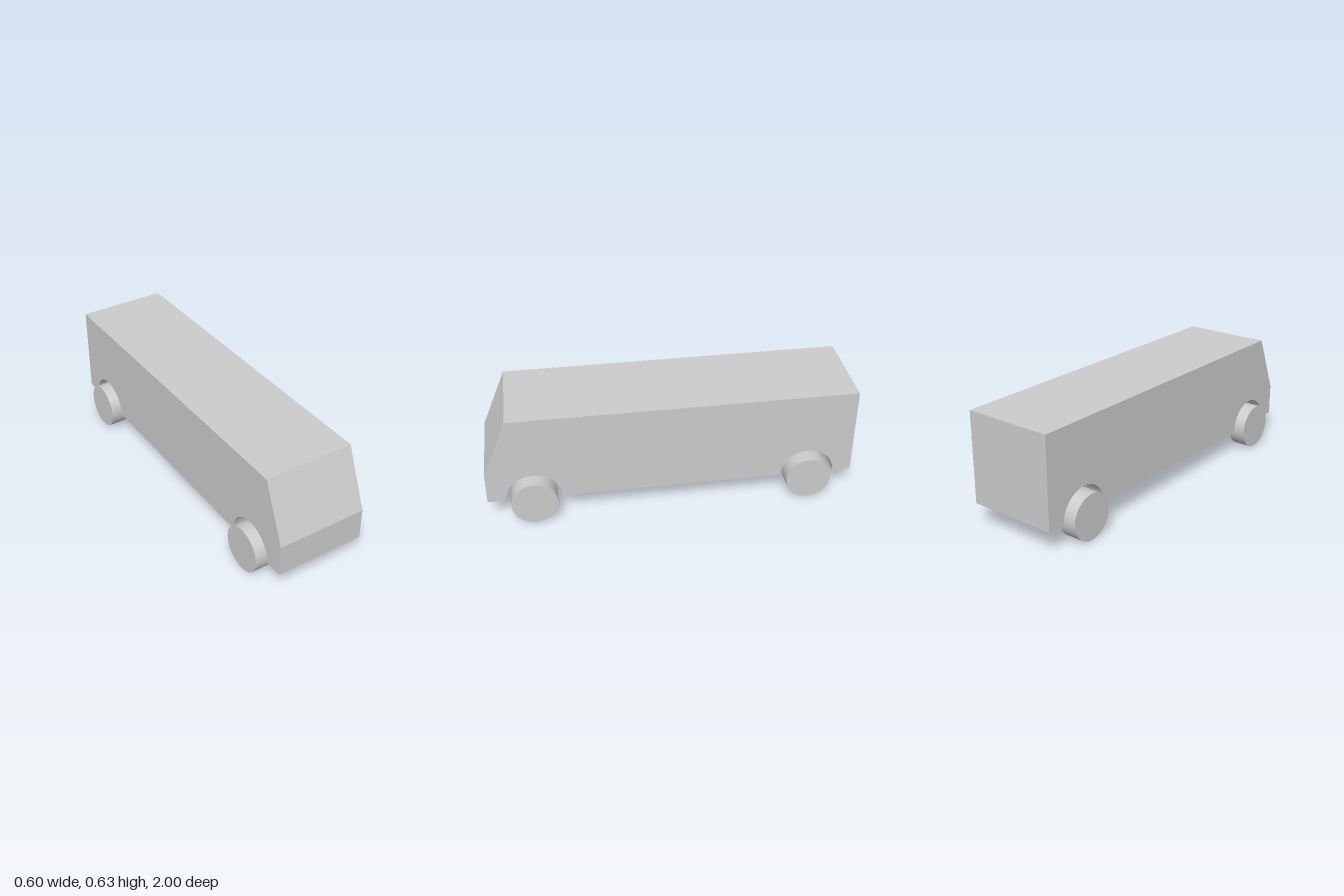
import * as THREE from 'three';
import { toCreasedNormals } from 'three/addons/utils/BufferGeometryUtils.js';

const FLOOR = 0.127, ROOF = 0.627, HALF_WIDTH = 0.25;
const AXLE_Z = 0.75, ARCH_R = 0.15;
const WHEEL_R = 0.125, WHEEL_W = 0.1, WHEEL_X = 0.25;

export function createModel() {
  const van = new THREE.Group();
  van.name = 'van';
  const material = new THREE.MeshStandardMaterial({ color: 0xcccccc });

  // Body: side profile (shape x = model z) with a semicircular arch over each axle
  const profile = new THREE.Shape();
  profile.moveTo(-1, FLOOR);
  for (const z of [-AXLE_Z, AXLE_Z]) {
    profile.lineTo(z - ARCH_R, FLOOR);
    profile.absarc(z, FLOOR, ARCH_R, Math.PI, 0, true);
  }
  profile.lineTo(1, FLOOR);
  profile.lineTo(1, 0.303);
  profile.lineTo(0.865, ROOF); // sloping windscreen
  profile.lineTo(-1, ROOF);
  profile.closePath();

  const bodyGeometry = new THREE.ExtrudeGeometry(profile, {
    depth: HALF_WIDTH * 2, bevelEnabled: false, curveSegments: 24,
  });
  bodyGeometry.translate(0, 0, -HALF_WIDTH).rotateY(-Math.PI / 2);
  const body = new THREE.Mesh(toCreasedNormals(bodyGeometry, 0.3), material);
  body.name = 'body';
  van.add(body);

  // Wheels: plain discs, half outside the body sides
  const wheelGeometry = new THREE.CylinderGeometry(WHEEL_R, WHEEL_R, WHEEL_W, 64).rotateZ(Math.PI / 2);
  for (const [end, z] of [['front', AXLE_Z], ['rear', -AXLE_Z]]) {
    for (const [side, x] of [['Left', WHEEL_X], ['Right', -WHEEL_X]]) {
      const wheel = new THREE.Mesh(wheelGeometry, material);
      wheel.name = `${end}${side}Wheel`;
      wheel.position.set(x, WHEEL_R, z);
      van.add(wheel);
    }
  }
  return van;
}
